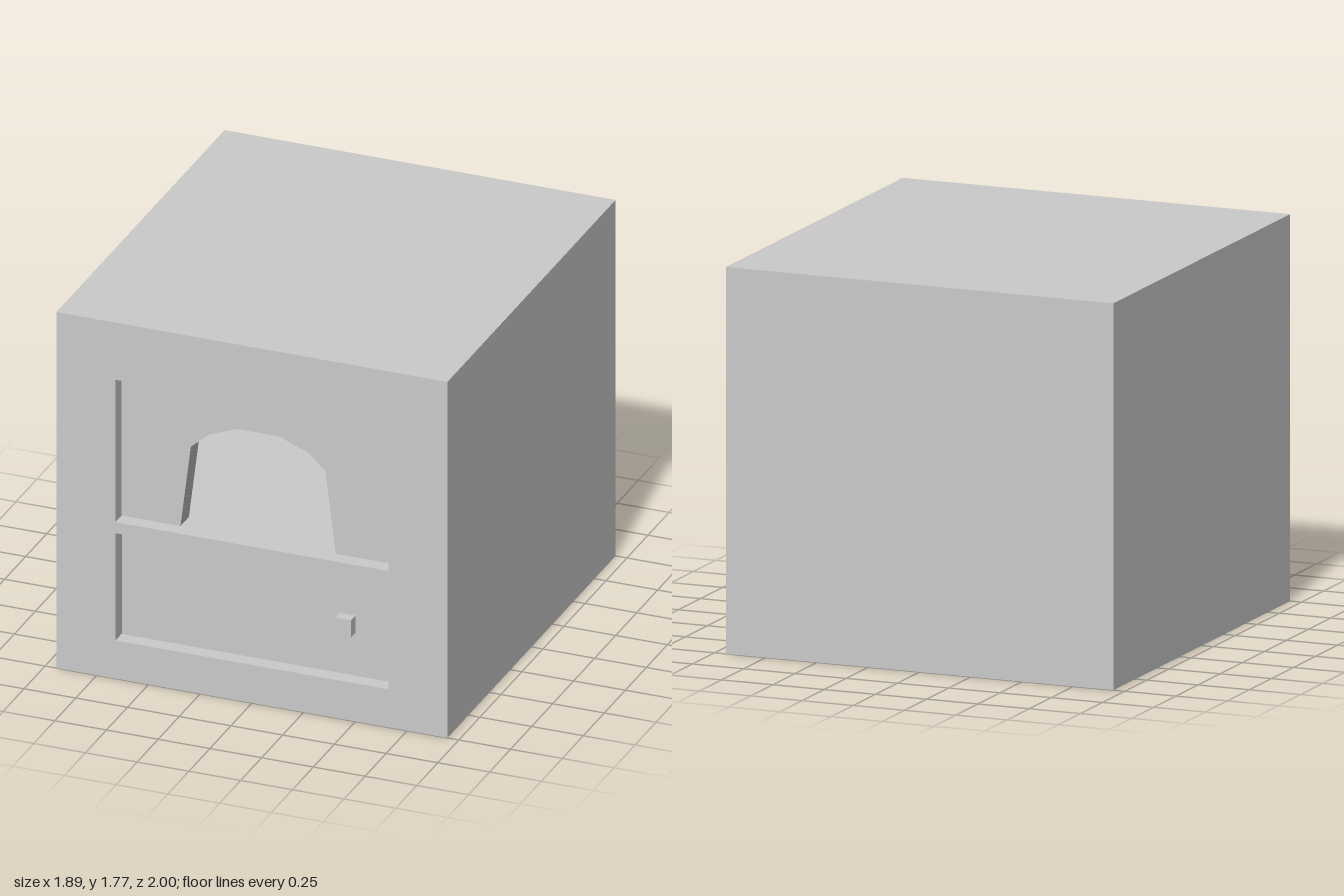
import * as THREE from 'three';

const W = 0.945, H = 1.775;      // half width and height of the body
const INNER = 0.66;              // half width of the chambers
const BACK = -0.715;             // rear wall of the chambers
const FACE = 0.927;              // recessed front plane

const material = new THREE.MeshStandardMaterial({ color: 0xcccccc, flatShading: true });

function polygon(points, Type = THREE.Shape) {
  return new Type(points.map(([x, y]) => new THREE.Vector2(x, y)));
}

function rect(half, y0, y1, Type) {
  return polygon([[-half, y0], [half, y0], [half, y1], [-half, y1]], Type);
}

// Extrudes a front-facing shape from z0 to z1
function slab(name, shape, z0, z1) {
  const geometry = new THREE.ExtrudeGeometry(shape, { depth: z1 - z0, bevelEnabled: false });
  geometry.translate(0, 0, z0);
  const mesh = new THREE.Mesh(geometry, material);
  mesh.name = name;
  return mesh;
}

export function createModel() {
  const oven = new THREE.Group();
  oven.name = 'oven';

  // Thick body with an upper baking chamber and a lower storage chamber
  const body = rect(W, 0, H);
  body.holes.push(
    rect(INNER, 0.78, 1.49, THREE.Path),
    rect(INNER, 0.19, 0.725, THREE.Path)
  );
  oven.add(slab('body', body, BACK, 1));
  oven.add(slab('backWall', rect(W, 0, H), -1, BACK));

  // Recessed front panel with the faceted arch, open down to the chamber floor
  const halfArch = [[0.375, 0.78], [0.325, 1.185], [0.24, 1.26], [0.1, 1.315]];
  const mirrored = halfArch.map(([x, y]) => [-x, y]).reverse();
  const archPanel = polygon([
    ...halfArch, ...mirrored,
    [-INNER, 0.78], [-INNER, 1.49], [INNER, 1.49], [INNER, 0.78]
  ]);
  oven.add(slab('archPanel', archPanel, FACE - 0.1, FACE));

  // Lower door, with a narrow gap along its top
  oven.add(slab('lowerDoor', rect(INNER - 0.003, 0.19, 0.715), FACE - 0.1, FACE));

  // Square door knob
  const knob = new THREE.Mesh(new THREE.BoxGeometry(0.075, 0.085, 0.06), material);
  knob.name = 'doorKnob';
  knob.position.set(0.433, 0.447, FACE + 0.022);
  oven.add(knob);

  return oven;
}
